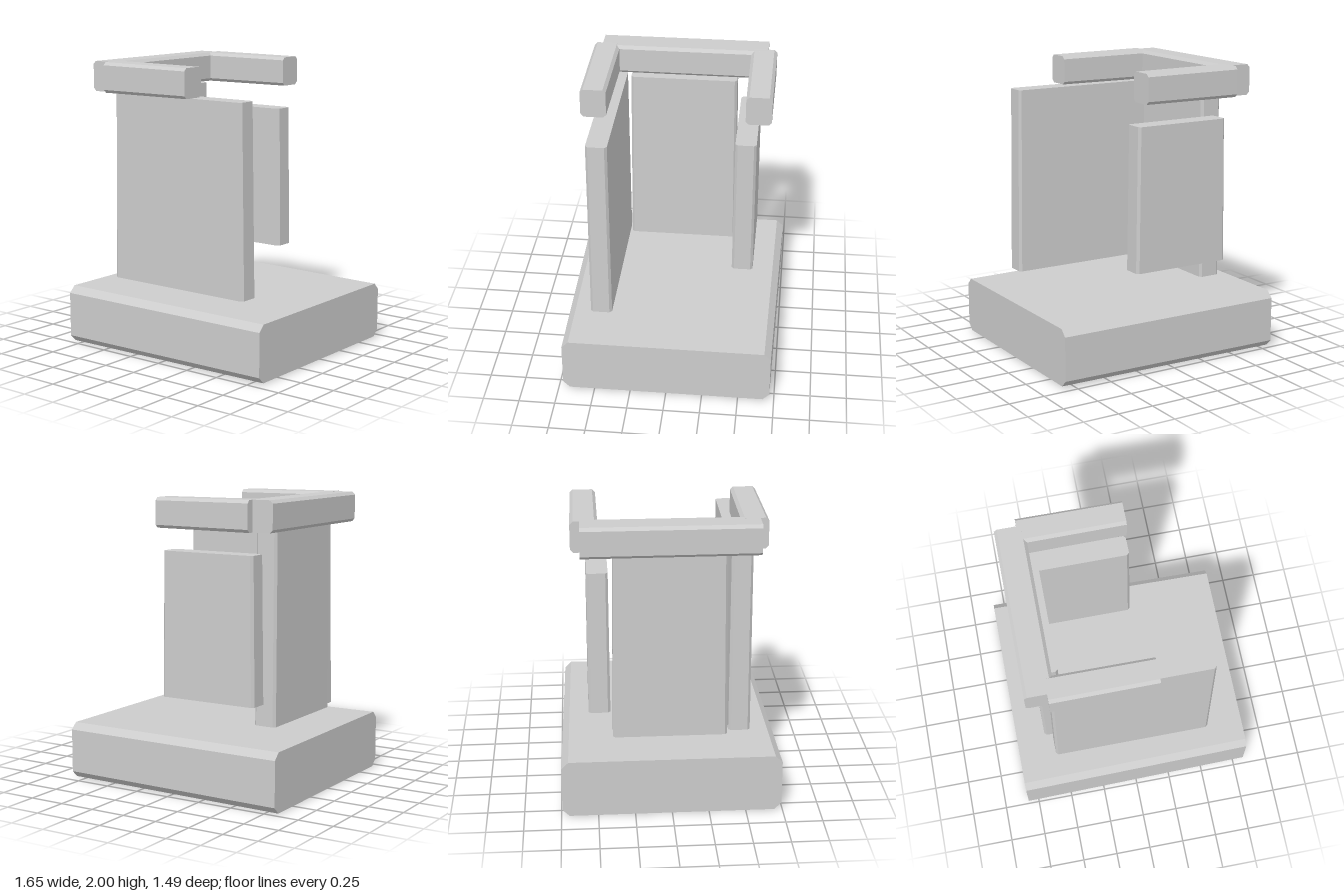
import * as THREE from 'three';

const stoneGrey = new THREE.MeshStandardMaterial({ color: 0xcccccc, flatShading: true });

// Bevelled block: an eight-sided section of w by h, extruded along +z and
// shrinking towards its far end by the factor taper.
function block(w, h, length, bevel, taper) {
  const a = w / 2, b = h / 2, c = bevel;
  const section = new THREE.Shape([
    [a - c, -b], [a, -b + c], [a, b - c], [a - c, b],
    [-a + c, b], [-a, b - c], [-a, -b + c], [-a + c, -b],
  ].map(([x, y]) => new THREE.Vector2(x, y)));
  const geometry = new THREE.ExtrudeGeometry(section, { depth: length, bevelEnabled: false });
  const p = geometry.attributes.position;
  for (let i = 0; i < p.count; i++) {
    const s = 1 + (taper - 1) * p.getZ(i) / length;
    p.setXY(i, p.getX(i) * s, p.getY(i) * s);
  }
  geometry.computeVertexNormals();
  return geometry;
}

export function createModel() {
  const model = new THREE.Group();
  const add = (name, geometry, x, y, z) => {
    const mesh = new THREE.Mesh(geometry, stoneGrey);
    mesh.name = name;
    mesh.position.set(x, y, z);
    model.add(mesh);
  };
  const alongX = (g) => g.rotateY(Math.PI / 2);
  const upright = (g) => g.rotateX(-Math.PI / 2);

  // Thick plinth, narrowing slightly towards +x
  add('base', alongX(block(1.485, 0.405, 1.65, 0.047, 0.967)), -0.825, 0.205, 0);

  // Upright panels, narrowing slightly towards the top
  add('frontPanel', upright(block(1.125, 0.148, 1.31, 0.017, 0.965)), 0, 0.48, 0.476);
  add('sidePanel', upright(block(0.776, 0.16, 1.31, 0.017, 0.965)).rotateY(Math.PI / 2), -0.54, 0.48, 0);
  add('backPanel', upright(block(0.72, 0.148, 1, 0.017, 0.965)), -0.19, 0.635, -0.476);

  // Three-sided top rail: a cross rail with an arm at either end
  add('crossRail', block(0.2, 0.21, 1.165, 0.021, 0.99), -0.608, 1.895, -0.583);
  for (const [name, z] of [['frontRailArm', 0.55], ['backRailArm', -0.555]]) {
    add(name, alongX(block(0.18, 0.21, 0.71, 0.021, 0.965)), -0.56, 1.895, z);
  }
  return model;
}
